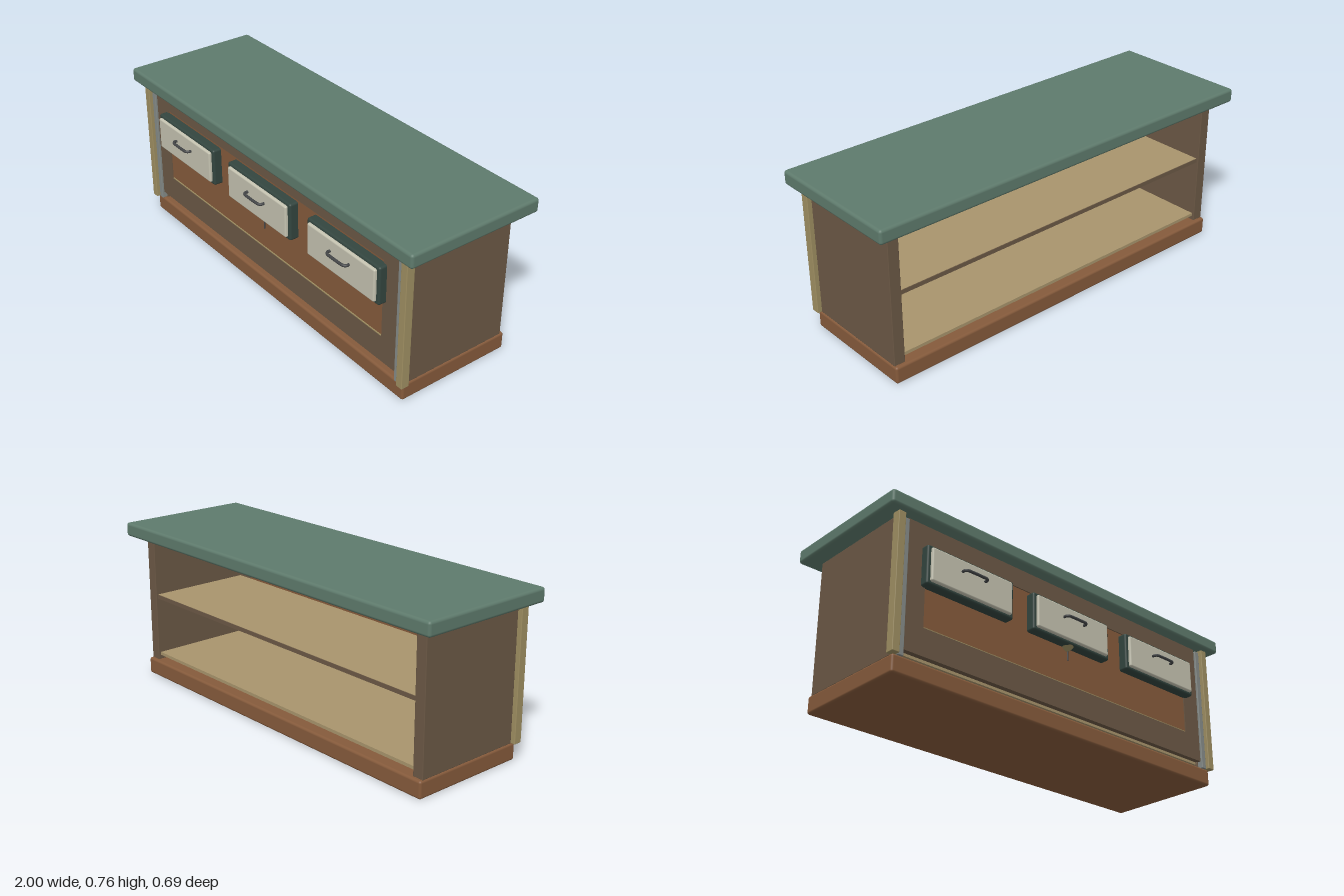
import * as THREE from 'three';
import { RoundedBoxGeometry } from 'three/addons/geometries/RoundedBoxGeometry.js';

const mat = (color) => new THREE.MeshStandardMaterial({ color });
const walnut = mat(0x6b5845), cherry = mat(0x855a3b), oak = mat(0x9f8f62), shelfWood = mat(0xa8946c);
const green = mat(0x5e7a6c), darkGreen = mat(0x33453f), cream = mat(0xc4c2b0);
const steel = mat(0x858b88), iron = mat(0x444648);

export function createModel() {
  const model = new THREE.Group();
  model.name = 'counter';

  const add = (parent, name, geometry, material) => {
    const mesh = new THREE.Mesh(geometry, material);
    mesh.name = name;
    parent.add(mesh);
    return mesh;
  };
  // Box given by its limits on each axis, with rounded edges if r > 0
  const box = (parent, name, material, [x0, x1], [y0, y1], [z0, z1], r = 0) => {
    const size = [x1 - x0, y1 - y0, z1 - z0];
    const geo = r ? new RoundedBoxGeometry(...size, 3, r) : new THREE.BoxGeometry(...size);
    const mesh = add(parent, name, geo, material);
    mesh.position.set((x0 + x1) / 2, (y0 + y1) / 2, (z0 + z1) / 2);
    return mesh;
  };

  // Top and plinth
  box(model, 'countertop', green, [-1, 1], [0.695, 0.76], [-0.345, 0.32], 0.013);
  box(model, 'plinth', cherry, [-0.93, 0.93], [0, 0.08], [-0.295, 0.27], 0.011);

  // Side panels with corner trim and metal strips
  for (const s of [-1, 1]) {
    const span = (a, b) => (s > 0 ? [a, b] : [-b, -a]);
    box(model, 'sidePanel', walnut, span(0.872, 0.925), [0.078, 0.697], [-0.277, 0.25], 0.003);
    box(model, 'cornerTrim', oak, span(0.91, 0.945), [0.078, 0.697], [0.25, 0.29], 0.003);
    box(model, 'metalStrip', steel, span(0.88, 0.907), [0.078, 0.685], [0.245, 0.275], 0.003);
  }

  // Open shelves at the back
  box(model, 'lowerShelf', shelfWood, [-0.874, 0.874], [0.1, 0.115], [-0.265, 0.24]);
  box(model, 'upperShelf', shelfWood, [-0.874, 0.874], [0.393, 0.412], [-0.265, 0.24]);
  box(model, 'upperShelfEdge', walnut, [-0.873, 0.873], [0.392, 0.411], [-0.268, -0.264]);

  // Front frame around a recessed panel
  const frame = new THREE.Shape();
  frame.moveTo(-0.88, 0.112).lineTo(0.88, 0.112).lineTo(0.88, 0.697).lineTo(-0.88, 0.697).closePath();
  const hole = new THREE.Path();
  hole.moveTo(-0.785, 0.235).lineTo(-0.785, 0.603).lineTo(0.785, 0.603).lineTo(0.785, 0.235).closePath();
  frame.holes.push(hole);
  add(model, 'frontFrame', new THREE.ExtrudeGeometry(frame, { depth: 0.025, bevelEnabled: false }), walnut)
    .position.z = 0.24;
  box(model, 'frontPanel', cherry, [-0.785, 0.785], [0.235, 0.603], [0.24, 0.26]);
  box(model, 'panelSill', oak, [-0.78, 0.78], [0.235, 0.239], [0.258, 0.264]);

  // Drawers with bent bar handles
  const bar = new THREE.CatmullRomCurve3([
    [-0.06, 0.312], [-0.06, 0.328], [-0.05, 0.337], [-0.025, 0.339],
    [0.025, 0.339], [0.05, 0.337], [0.06, 0.328], [0.06, 0.312],
  ].map(([x, z]) => new THREE.Vector3(x, 0.522, z)));
  for (const x of [-0.575, 0, 0.575]) {
    const drawer = new THREE.Group();
    drawer.name = 'drawer';
    drawer.position.x = x;
    box(drawer, 'drawerSurround', darkGreen, [-0.23, 0.23], [0.411, 0.591], [0.25, 0.302], 0.01);
    box(drawer, 'drawerFace', cream, [-0.214, 0.214], [0.425, 0.578], [0.285, 0.315], 0.008);
    add(drawer, 'drawerHandle', new THREE.TubeGeometry(bar, 40, 0.0065, 8), iron);
    model.add(drawer);
  }

  // Small hook under the middle drawer
  const hook = new THREE.Group();
  hook.name = 'hook';
  hook.position.z = 0.272;
  add(hook, 'hookMount', new THREE.CylinderGeometry(0.028, 0.006, 0.022, 12), oak).position.y = 0.402;
  add(hook, 'hookRod', new THREE.CylinderGeometry(0.003, 0.003, 0.065, 8), iron).position.y = 0.38;
  model.add(hook);

  return model;
}
